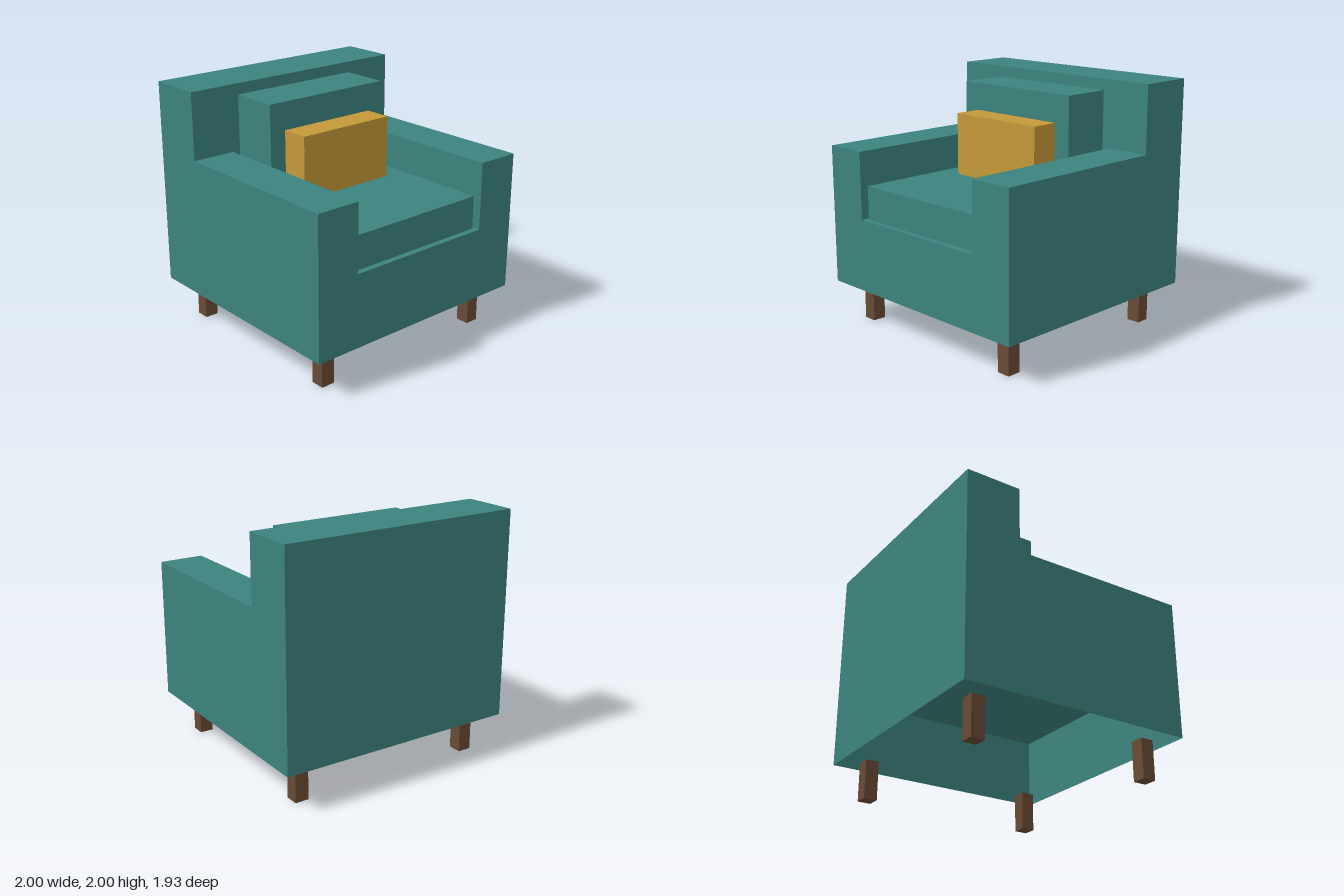
import * as THREE from 'three';

export function createModel() {
  const model = new THREE.Group();
  const fabric = new THREE.MeshStandardMaterial({ color: 0x3c837e, side: THREE.DoubleSide });
  fabric.name = 'teal fabric';
  const mustard = new THREE.MeshStandardMaterial({ color: 0xc49938 });
  mustard.name = 'mustard fabric';
  const wood = new THREE.MeshStandardMaterial({ color: 0x684b34 });
  wood.name = 'brown wood';

  // Box given by its extents along each axis
  function box(name, material, [x0, x1], [y0, y1], [z0, z1]) {
    const geometry = new THREE.BoxGeometry(x1 - x0, y1 - y0, z1 - z0);
    const mesh = new THREE.Mesh(geometry, material);
    mesh.position.set((x0 + x1) / 2, (y0 + y1) / 2, (z0 + z1) / 2);
    mesh.name = name;
    model.add(mesh);
    return mesh;
  }

  const front = 0.965, backFront = -0.51, deck = 0.91, seatTop = 1.18;

  // Base shell, hollow and open underneath (the -y face is left out)
  const base = box('base', fabric, [-1, 1], [0.32, deck], [-front, front]);
  const index = Array.from(base.geometry.index.array);
  index.splice(18, 6);
  base.geometry.setIndex(index);
  base.geometry.clearGroups();

  // Backrest and cushions
  box('backrest', fabric, [-1, 1], [deck, 2], [-front, backFront]);
  box('seatCushion', fabric, [-0.613, 0.613], [deck, seatTop], [backFront, 0.915]);
  box('backCushion', fabric, [-0.57, 0.57], [seatTop, 1.91], [backFront, -0.105]);
  box('pillow', mustard, [-0.43, 0.43], [seatTop, 1.685], [-0.105, 0.125]);

  // Arms and legs, mirrored left to right
  for (const [side, s] of [['left', 1], ['right', -1]]) {
    const span = (a, b) => (s > 0 ? [a, b] : [-b, -a]);
    box(side + 'Arm', fabric, span(0.637, 1), [deck, 1.457], [backFront, front]);
    box(side + 'FrontLeg', wood, span(0.728, 0.84), [0, 0.32], [0.697, 0.808]);
    box(side + 'BackLeg', wood, span(0.728, 0.84), [0, 0.32], [-0.808, -0.697]);
  }
  return model;
}
